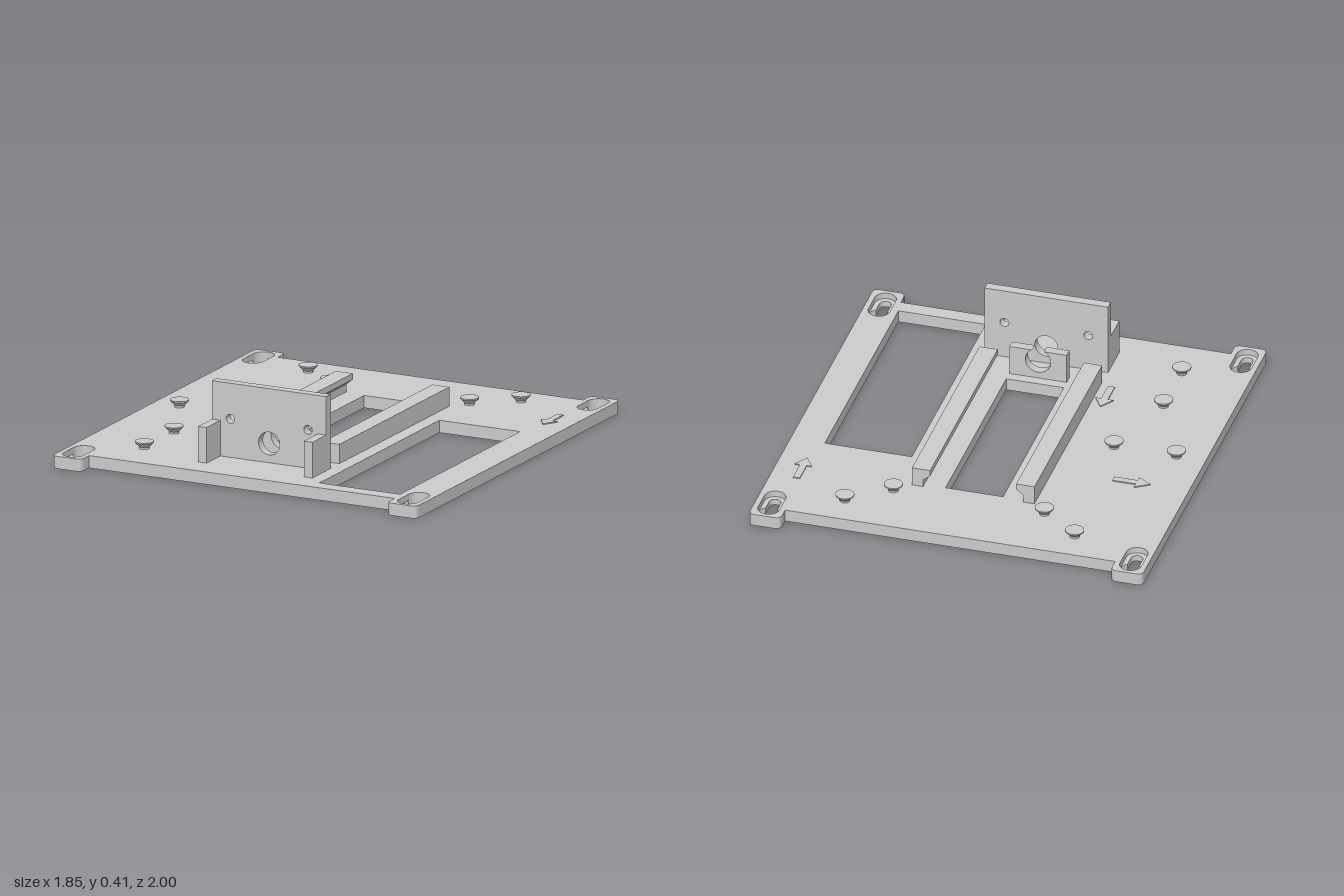
import * as THREE from 'three';

const grey = new THREE.MeshStandardMaterial({ color: 0xcccccc });
grey.name = 'light grey plastic';

const T = 0.058; // base plate thickness

function add(group, name, geometry, x = 0, y = 0, z = 0) {
  const mesh = new THREE.Mesh(geometry, grey);
  mesh.name = name;
  mesh.position.set(x, y, z);
  group.add(mesh);
  return mesh;
}

const polygon = (points) => new THREE.Shape(points.map(([x, y]) => new THREE.Vector2(x, y)));

const extrude = (shape, depth) =>
  new THREE.ExtrudeGeometry(shape, { depth, bevelEnabled: false, curveSegments: 16 });

// Plan shapes use (x, -z); this lays them flat, growing upwards
const slab = (shape, depth) => extrude(shape, depth).rotateX(-Math.PI / 2);

// Counter-clockwise, so that the walls of the opening face inwards
const rect = (x0, x1, z0, z1) => polygon([[x0, -z0], [x0, -z1], [x1, -z1], [x1, -z0]]);

function circle(x, y, r) {
  const path = new THREE.Path();
  path.absarc(x, y, r, 0, Math.PI * 2, false);
  return path;
}

// Round head with a slot of half-width w running 0.1 towards the front
function keyhole(x, z, r, w) {
  const path = new THREE.Path();
  const a = Math.asin(w / r);
  path.absarc(x, -z, r, -Math.PI / 2 + a, Math.PI * 1.5 - a, false);
  path.absarc(x, -z - 0.1, w, Math.PI, Math.PI * 2, false);
  path.closePath();
  return path;
}

// Plate outline with rounded mounting tabs at the four corners
function plateOutline() {
  const s = new THREE.Shape();
  const X = 0.925, I = 0.775, r = 0.03, back = 0.925, front = -0.923;
  s.moveTo(-I, front);
  s.lineTo(-I, -1 + r);
  s.quadraticCurveTo(-I, -1, -I - r, -1);
  s.lineTo(-X + r, -1);
  s.quadraticCurveTo(-X, -1, -X, -1 + r);
  s.lineTo(-X, 1 - r);
  s.quadraticCurveTo(-X, 1, -X + r, 1);
  s.lineTo(-I - r, 1);
  s.quadraticCurveTo(-I, 1, -I, 1 - r);
  s.lineTo(-I, back);
  s.lineTo(I, back);
  s.lineTo(I, 1 - r);
  s.quadraticCurveTo(I, 1, I + r, 1);
  s.lineTo(X - r, 1);
  s.quadraticCurveTo(X, 1, X, 1 - r);
  s.lineTo(X, -1 + r);
  s.quadraticCurveTo(X, -1, X - r, -1);
  s.lineTo(I + r, -1);
  s.quadraticCurveTo(I, -1, I, -1 + r);
  s.lineTo(I, front);
  s.closePath();
  s.holes.push(rect(0.356, 0.765, -0.326, 0.85), rect(-0.135, 0.135, -0.537, 0.431));
  return s;
}

export function createModel() {
  const model = new THREE.Group();
  model.name = 'mountingPlate';

  // Base: keyholes below, wider slot recesses above
  const lower = plateOutline();
  const upper = plateOutline();
  for (const x of [-0.85, 0.85]) {
    for (const z of [-0.93, 0.83]) {
      lower.holes.push(keyhole(x, z, 0.05, 0.027));
      upper.holes.push(keyhole(x, z, 0.05, 0.0499));
    }
  }
  add(model, 'basePlateLower', slab(lower, T / 2));
  add(model, 'basePlateUpper', slab(upper, T / 2), 0, T / 2);

  // Rails with an undercut on their inner side
  for (const side of [-1, 1]) {
    const profile = polygon([
      [0.235, T], [0.288, T], [0.288, 0.148], [0.202, 0.148], [0.202, 0.12], [0.235, 0.093],
    ].map(([x, y]) => [x * side, y]));
    add(model, side > 0 ? 'leftRail' : 'rightRail', extrude(profile, 1.079), 0, 0, -0.556);
  }

  // Upright bracket with a shaft hole, two screw holes and side flanges
  const bracket = new THREE.Group();
  bracket.name = 'bracket';
  const face = polygon([[-0.29, T], [0.29, T], [0.29, 0.405], [-0.29, 0.405]]);
  face.holes.push(circle(0, 0.148, 0.054), circle(-0.197, 0.238, 0.021), circle(0.197, 0.238, 0.021));
  add(bracket, 'bracketFace', extrude(face, 0.045), 0, 0, 0.611);
  for (const side of [-1, 1]) {
    add(bracket, 'bracketFlange', new THREE.BoxGeometry(0.043, 0.167, 0.136),
      side * 0.2685, T + 0.0835, 0.724);
  }
  model.add(bracket);

  // Small support with a round seat open at the top
  const top = 0.201, r = 0.06, cy = 0.148;
  const open = Math.asin((top - cy) / r);
  const support = new THREE.Shape();
  support.moveTo(-0.135, top);
  support.lineTo(-0.135, T);
  support.lineTo(0.135, T);
  support.lineTo(0.135, top);
  support.absarc(0, cy, r, open, -Math.PI - open, true);
  support.closePath();
  add(model, 'shaftSupport', extrude(support, 0.043), 0, 0, 0.479);

  // Flared standoff pegs
  const peg = new THREE.LatheGeometry([
    [0.023, 0], [0.023, 0.009], [0.023, 0.009], [0.043, 0.029], [0.043, 0.029],
    [0.043, 0.035], [0.043, 0.035], [0, 0.035],
  ].map(([x, y]) => new THREE.Vector2(x, y)), 28);
  const pegs = [
    [-0.54, -0.77], [0.54, -0.77], [-0.355, -0.624], [0.355, -0.624],
    [-0.788, 0.011], [-0.495, 0.011], [-0.61, 0.41], [-0.61, 0.701],
  ];
  for (const [x, z] of pegs) add(model, 'peg', peg, x, T, z);

  // Thin raised direction arrows, pointing to the front before turning
  const arrow = slab(polygon([
    [0, -0.09], [0.042, -0.025], [0.016, -0.025], [0.016, 0.085],
    [-0.016, 0.085], [-0.016, -0.025], [-0.042, -0.025],
  ]), 0.005);
  const arrows = [[0.803, -0.565, 0], [-0.655, -0.255, -Math.PI / 2], [-0.34, 0.41, Math.PI]];
  for (const [x, z, turn] of arrows) add(model, 'arrow', arrow, x, T, z).rotation.y = turn;

  return model;
}
